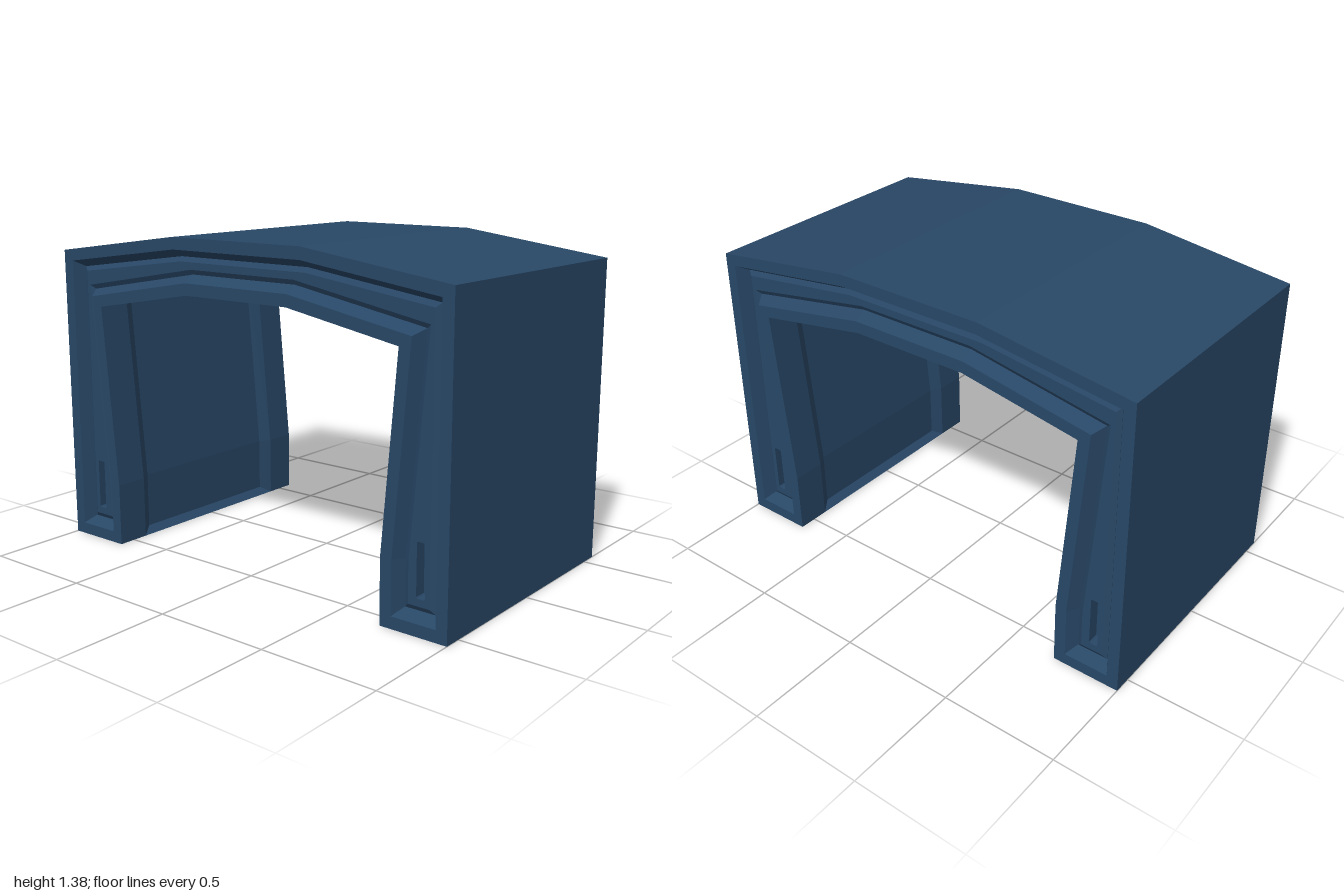
import * as THREE from 'three';

const HALF = 0.575;      // half depth
const RIB = 0.43;        // inner edge of the end ribs
const RECESS = 0.38;     // where the bevel meets the recessed inner wall
const PANEL = 0.037;     // depth of the panel below the rim of each end face
const SLOT = 0.05;       // depth of the slots

// Mirror a half outline (listed from top centre round to the inside) into a closed clockwise arch
function arch(half) {
  const left = half.map(([x, y]) => [-x, y]).reverse();
  return [...half, ...left].map(([x, y]) => new THREE.Vector2(x, y));
}

// Shrink a clockwise outline evenly, with mitred corners
function inset(points, d) {
  const n = points.length;
  const normal = (a, b) => {
    const e = b.clone().sub(a).normalize();
    return new THREE.Vector2(e.y, -e.x);
  };
  return points.map((p, i) => {
    const a = normal(points[(i + n - 1) % n], p);
    const b = normal(p, points[(i + 1) % n]);
    return p.clone().addScaledVector(a.clone().add(b), d / (1 + a.dot(b)));
  });
}

// Skin a series of matching closed outlines, each given as [outline, z]
function loft(rows) {
  const pos = [];
  const add = ([loop, z], i) => {
    const p = loop[i % loop.length];
    pos.push(p.x, p.y, z);
  };
  for (let j = 0; j + 1 < rows.length; j++) {
    const [r, s] = [rows[j], rows[j + 1]];
    for (let i = 0; i < r[0].length; i++) {
      add(r, i); add(s, i); add(r, i + 1);
      add(s, i); add(s, i + 1); add(r, i + 1);
    }
  }
  const g = new THREE.BufferGeometry();
  g.setAttribute('position', new THREE.Float32BufferAttribute(pos, 3));
  g.computeVertexNormals();
  return g;
}

export function createModel() {
  const model = new THREE.Group();
  model.name = 'archway';
  const material = new THREE.MeshStandardMaterial({ color: 0x284766, flatShading: true });
  const mesh = (geometry, name, parent = model) => {
    const m = new THREE.Mesh(geometry, material);
    m.name = name;
    parent.add(m);
    return m;
  };

  // Rib section, and the slightly thinner section between the ribs
  const outer = [[0.333, 1.375], [1, 1.285], [1, 0]];
  const rib = arch([...outer, [0.705, 0], [0.705, 0.27], [0.775, 1.055], [0.26, 1.145]]);
  const thin = arch([...outer, [0.735, 0], [0.735, 0.27], [0.805, 1.081], [0.265, 1.175]]);

  // Bevelled groove running round a low raised panel, from the rim inwards: [inset, depth]
  const steps = [[0.05, 0], [0.08, 0.05], [0.1, PANEL]];
  const end = steps.map(([d, depth]) => [inset(rib, d), HALF - depth]);
  const half = [[thin, RECESS], [rib, RIB], [rib, HALF], ...end];
  const back = half.map(([loop, z]) => [loop, -z]).reverse();
  mesh(loft([...back, ...half]), 'archBody');

  // Bevelled sills along the foot of the inner recess
  for (const side of [-1, 1]) {
    const section = [[0.705, 0], [0.735, 0], [0.735, 0.03]].map(([x, y]) => new THREE.Vector2(side * x, y));
    const sill = new THREE.ExtrudeGeometry(new THREE.Shape(section), { depth: RIB * 2, bevelEnabled: false });
    mesh(sill, side > 0 ? 'leftSill' : 'rightSill').position.z = -RIB;
  }

  // End panels with a slot in each leg, the same at both ends
  const slotOutline = (side) => {
    const [w, y0, y1, c] = [0.019, 0.13, 0.347, 0.005];
    return [[-w, y0 + c], [-w, y1 - c], [-w + c, y1], [w - c, y1],
      [w, y1 - c], [w, y0 + c], [w - c, y0], [-w + c, y0]]
      .map(([x, y]) => new THREE.Vector2(x + side * 0.86, y));
  };
  const panelZ = HALF - PANEL;
  for (const name of ['frontPanel', 'backPanel']) {
    const panel = new THREE.Group();
    panel.name = name;
    if (name === 'backPanel') panel.rotation.y = Math.PI;
    model.add(panel);

    const slots = [-1, 1].map(slotOutline);
    const face = new THREE.Shape(end[end.length - 1][0]);
    face.holes = slots.map((s) => new THREE.Path(s));
    mesh(new THREE.ShapeGeometry(face), 'panelFace', panel).position.z = panelZ;
    for (const s of slots) {
      mesh(loft([[s, panelZ], [s, panelZ - SLOT]]), 'slotWalls', panel);
      mesh(new THREE.ShapeGeometry(new THREE.Shape(s)), 'slotBottom', panel).position.z = panelZ - SLOT;
    }
  }
  return model;
}
